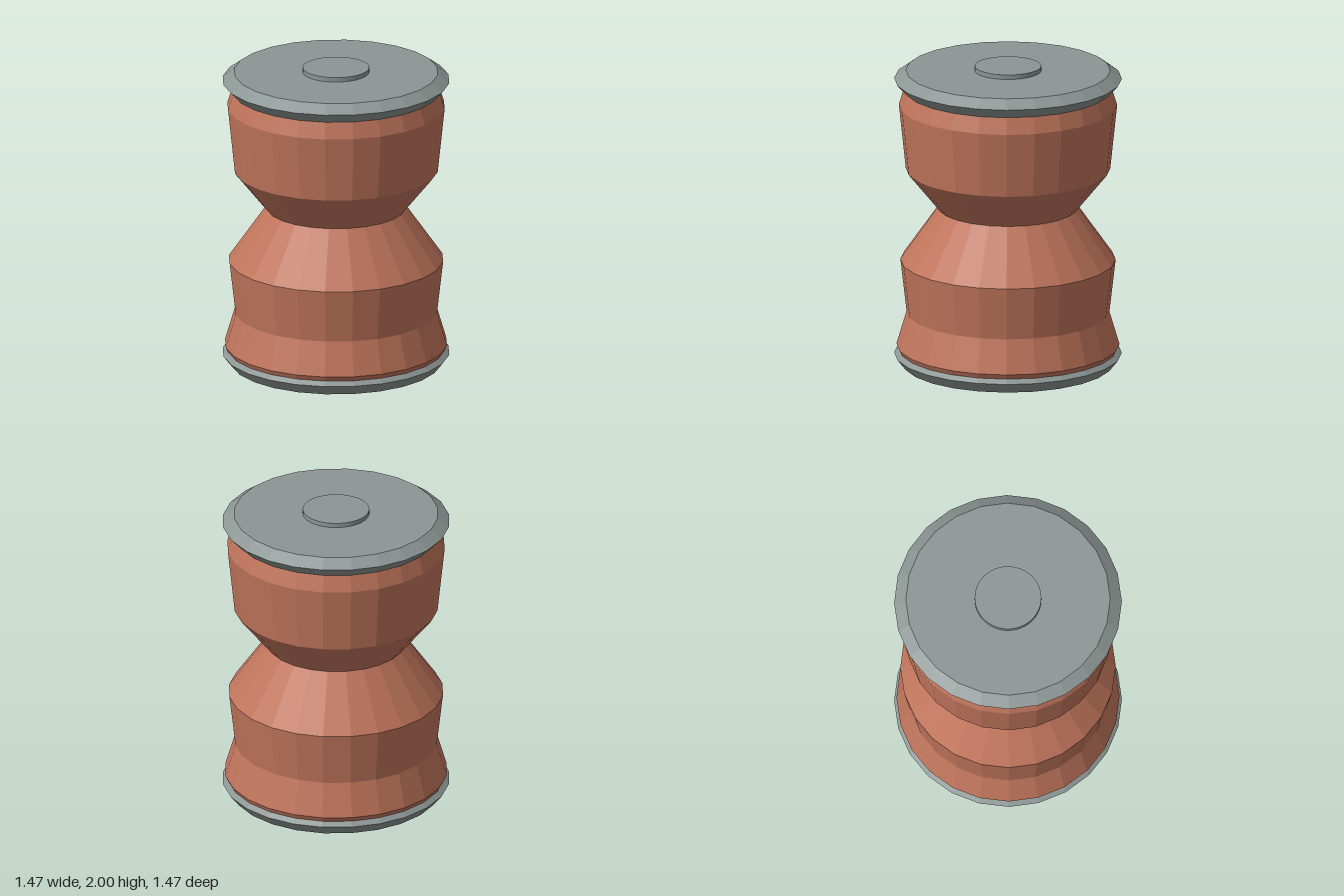
import * as THREE from 'three';

const SIDES = 24;

// Faceted turned part from [radius, height] pairs, listed bottom to top
function turned(name, profile, material, sides = SIDES) {
  const points = profile.map(([r, y]) => new THREE.Vector2(r, y));
  const mesh = new THREE.Mesh(new THREE.LatheGeometry(points, sides), material);
  mesh.name = name;
  return mesh;
}

export function createModel() {
  const group = new THREE.Group();
  group.name = 'spool';
  const clay = new THREE.MeshStandardMaterial({ color: 0xc0755c, flatShading: true });
  const metal = new THREE.MeshStandardMaterial({ color: 0x8c9694, flatShading: true });

  // Waisted body between the two end plates
  group.add(turned('body', [
    [0.70, 0.09], [0.72, 0.13], [0.655, 0.35], [0.695, 0.70], [0.45, 1.05],
    [0.66, 1.31], [0.705, 1.74], [0.67, 1.85],
  ], clay));

  // Bevelled end plates
  group.add(turned('basePlate', [
    [0, 0], [0.68, 0], [0.735, 0.07], [0.70, 0.10], [0, 0.10],
  ], metal));
  group.add(turned('topPlate', [
    [0, 1.845], [0.67, 1.845], [0.735, 1.915], [0.66, 1.97], [0, 1.97],
  ], metal));

  // Round button on top
  const button = new THREE.Mesh(
    new THREE.CylinderGeometry(0.215, 0.215, 0.04, 48),
    new THREE.MeshStandardMaterial({ color: 0x8c9694 }),
  );
  button.name = 'topButton';
  button.position.y = 1.98;
  group.add(button);

  return group;
}
